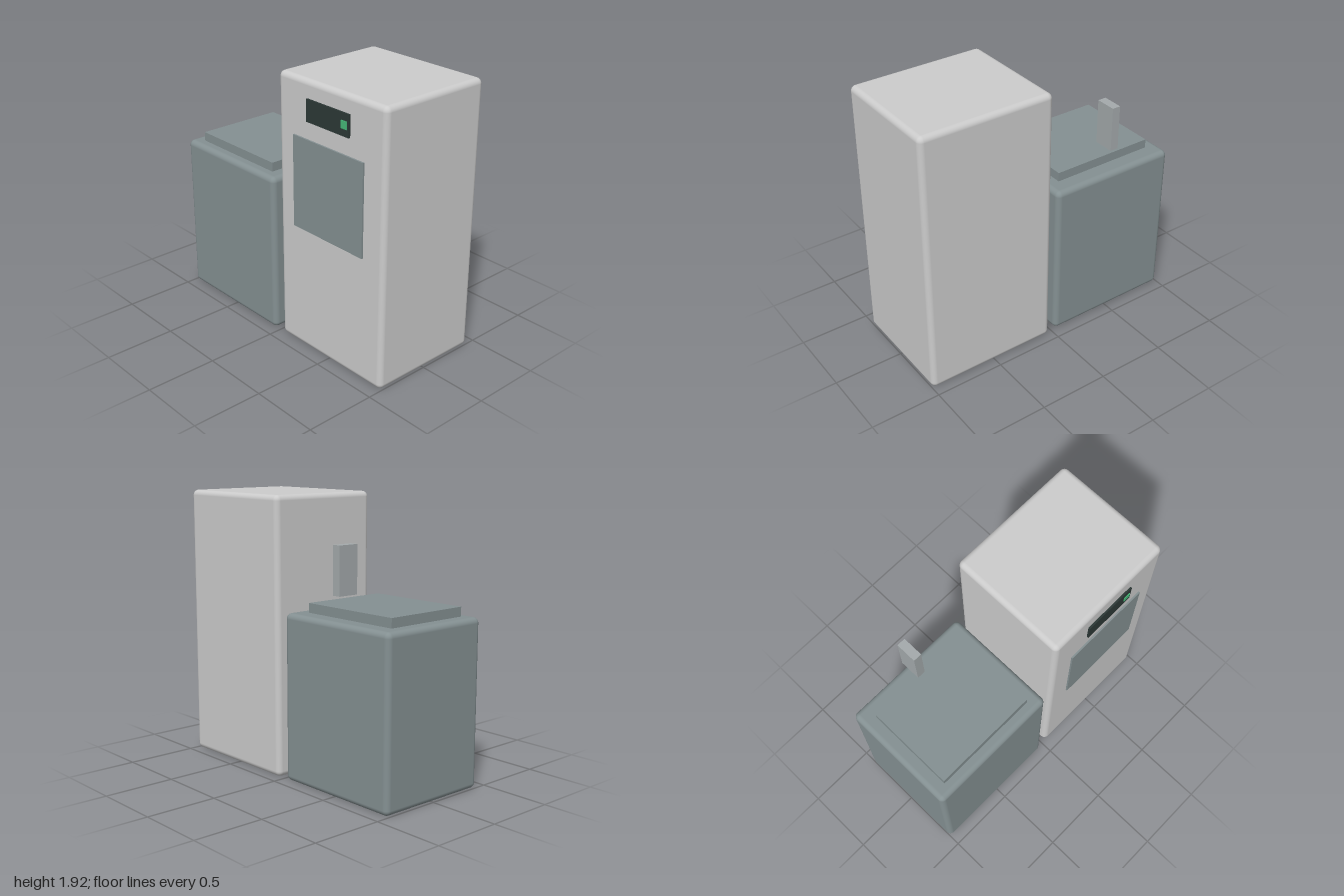
import * as THREE from 'three';
import { RoundedBoxGeometry } from 'three/addons/geometries/RoundedBoxGeometry.js';

const grey = new THREE.MeshStandardMaterial({ color: 0xcccccc });
const slate = new THREE.MeshStandardMaterial({ color: 0x849092 });
const dark = new THREE.MeshStandardMaterial({ color: 0x2c3836 });
const metal = new THREE.MeshStandardMaterial({ color: 0xa4aaac });
const green = new THREE.MeshStandardMaterial({ color: 0x46b878 });

export function createModel() {
  const model = new THREE.Group();
  model.name = 'cabinetPair';

  // Box spanning two opposite corners; a radius rounds its edges
  const block = (name, material, min, max, radius = 0) => {
    const size = max.map((v, i) => v - min[i]);
    const geometry = radius
      ? new RoundedBoxGeometry(...size, 5, radius)
      : new THREE.BoxGeometry(...size);
    const mesh = new THREE.Mesh(geometry, material);
    mesh.name = name;
    mesh.position.set(...max.map((v, i) => (v + min[i]) / 2));
    model.add(mesh);
  };

  // Low cabinet with a raised lid and a hovering handle above it
  block('lowCabinet', slate, [-1, 0, -0.422], [-0.03, 1.155, 0.421], 0.038);
  block('lid', slate, [-0.9, 1.14, -0.295], [-0.13, 1.22, 0.342]);
  block('handle', metal, [-0.546, 1.32, -0.4], [-0.485, 1.64, -0.25]);

  // Tall cabinet with its front fittings
  block('tallCabinet', grey, [0.03, 0, -0.434], [1, 1.925, 0.408], 0.038);
  block('frontPanel', slate, [0.19, 0.9, 0.415], [0.83, 1.54, 0.427]);
  block('display', dark, [0.32, 1.66, 0.415], [0.705, 1.81, 0.428]);
  block('indicatorLight', green, [0.64, 1.71, 0.422], [0.69, 1.762, 0.434]);

  return model;
}
